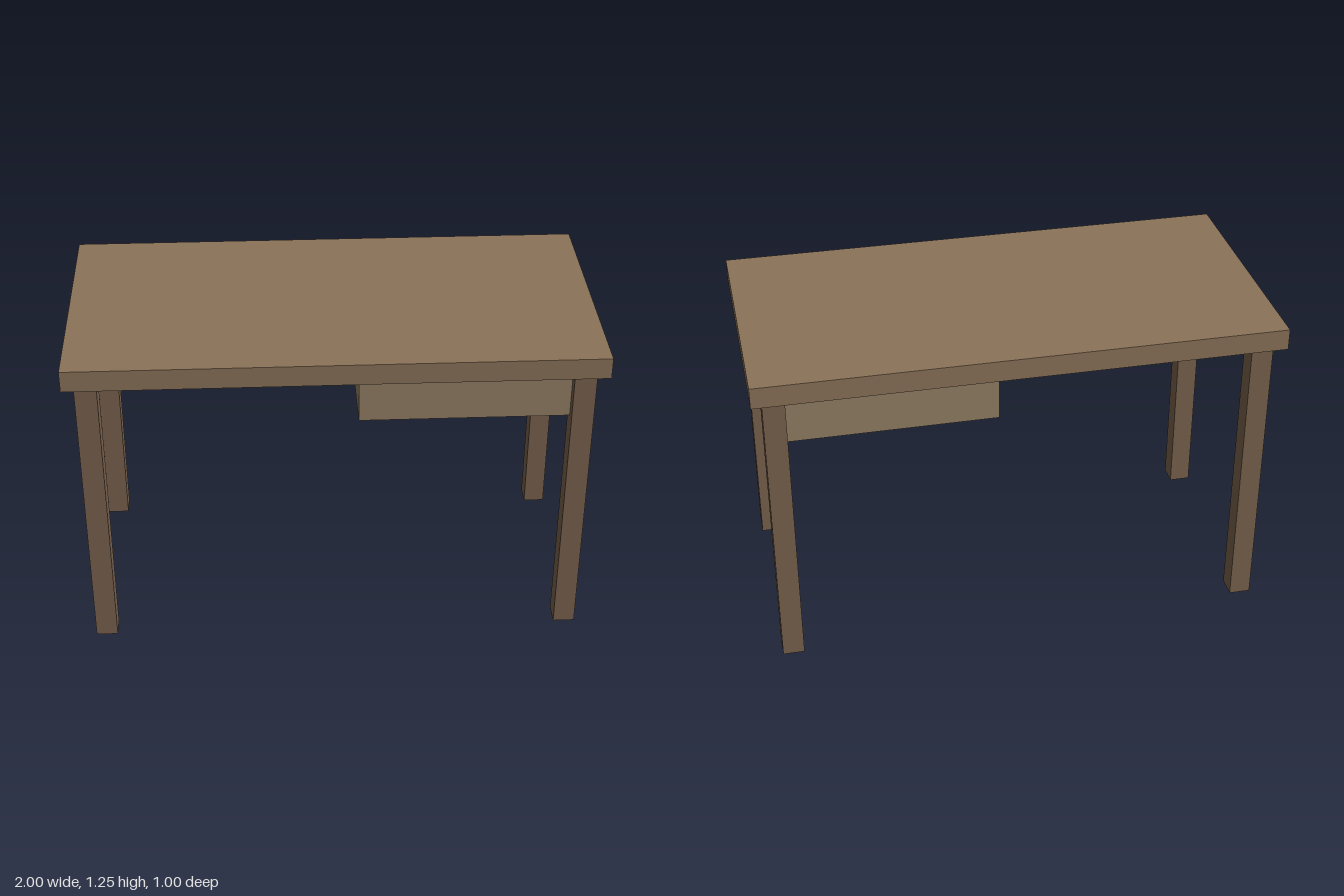
import * as THREE from 'three';

// Desk with four square legs and a drawer box under its left half
export function createModel() {
  const desk = new THREE.Group();
  desk.name = 'desk';

  const topMat = new THREE.MeshStandardMaterial({ color: 0x8b7359 });
  const legMat = new THREE.MeshStandardMaterial({ color: 0x7a634e });
  const drawerMat = new THREE.MeshStandardMaterial({ color: 0x948066 });

  const addBox = (name, size, position, material) => {
    const mesh = new THREE.Mesh(new THREE.BoxGeometry(...size), material);
    mesh.name = name;
    mesh.position.set(...position);
    desk.add(mesh);
  };

  const height = 1.25, thickness = 0.0833;
  const legHeight = height - thickness;
  const legX = 0.9167, legZ = 0.4167; // leg centres

  // Table top
  addBox('tableTop', [2, thickness, 1], [0, height - thickness / 2, 0], topMat);

  // Legs
  for (const [sideName, sx] of [['Left', 1], ['Right', -1]]) {
    for (const [endName, sz] of [['front', 1], ['back', -1]]) {
      addBox(`${endName}${sideName}Leg`, [thickness, legHeight, thickness],
        [sx * legX, legHeight / 2, sz * legZ], legMat);
    }
  }

  // Drawer, reaching to the leg centres with a thin gap below the top
  addBox('drawer', [0.8333, 0.2, 2 * legZ], [0.5, 1.0583, 0], drawerMat);

  return desk;
}
